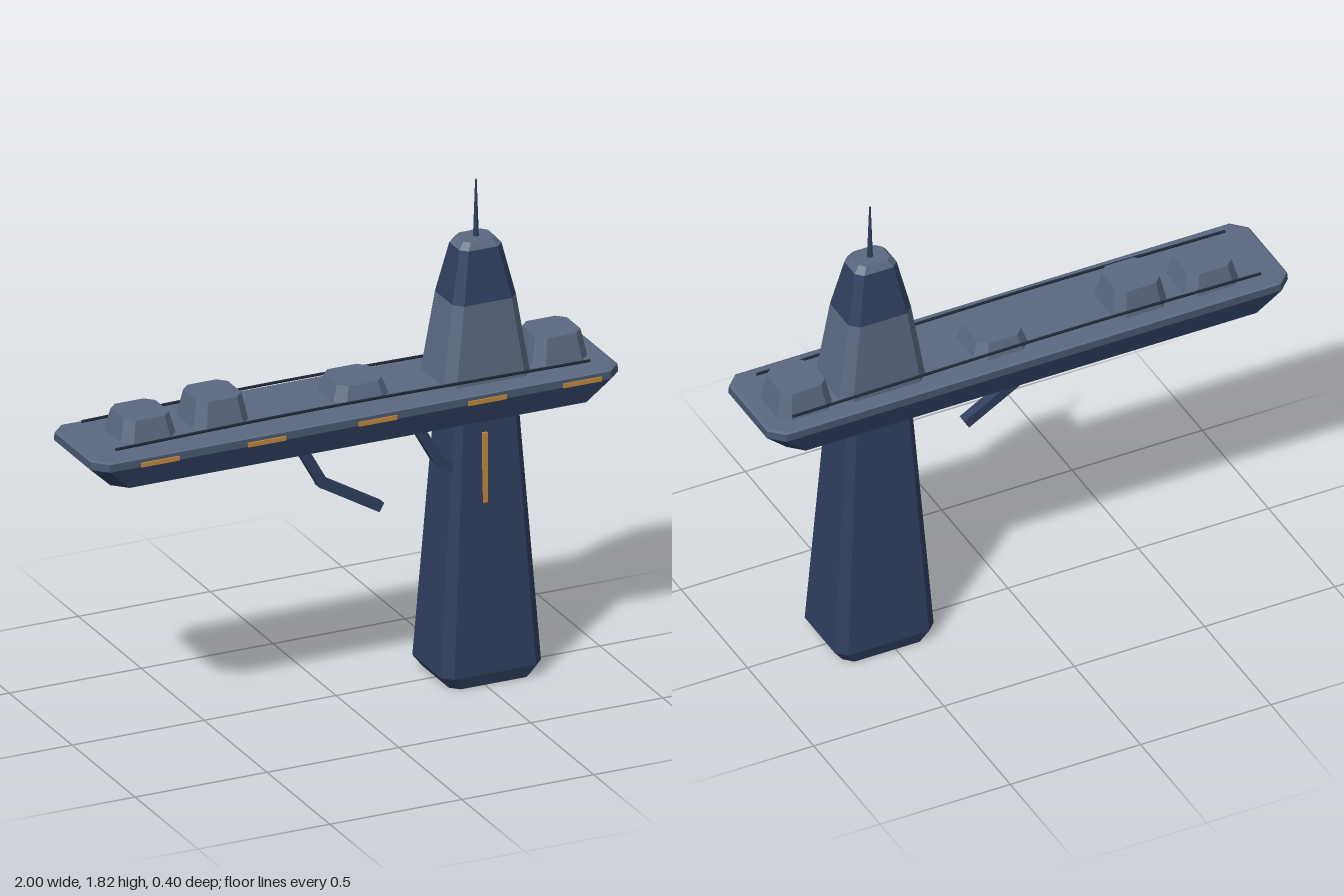
import * as THREE from 'three';

const paint = (name, color) => {
  const m = new THREE.MeshStandardMaterial({ color });
  m.name = name;
  return m;
};

// Flat-faced loft through chamfered rectangles: rings of [y, halfX, halfZ, chamfer], bottom to top
function loft(rings) {
  const loops = rings.map(([y, hx, hz, c]) => [
    [hx, hz - c], [hx - c, hz], [c - hx, hz], [-hx, hz - c],
    [-hx, c - hz], [c - hx, -hz], [hx - c, -hz], [hx, c - hz],
  ].map(([x, z]) => [x, y, z]));
  const pos = [];
  const tri = (...pts) => pts.forEach((p) => pos.push(...p));
  for (let r = 0; r < loops.length - 1; r++) {
    for (let i = 0; i < 8; i++) {
      const j = (i + 1) % 8;
      const a = loops[r][i], b = loops[r][j], c = loops[r + 1][j], d = loops[r + 1][i];
      tri(a, d, c);
      tri(a, c, b);
    }
  }
  const low = loops[0], top = loops[loops.length - 1];
  for (let i = 1; i < 7; i++) {
    tri(low[0], low[i], low[i + 1]);
    tri(top[0], top[i + 1], top[i]);
  }
  const g = new THREE.BufferGeometry();
  g.setAttribute('position', new THREE.Float32BufferAttribute(pos, 3));
  g.computeVertexNormals();
  return g;
}

export function createModel() {
  const model = new THREE.Group();
  model.name = 'towerPlatform';
  const navy = paint('navy', 0x2f3f5d);
  const slate = paint('slate', 0x5a687e);
  const trim = paint('deckTrim', 0x46566d);
  const dark = paint('darkCable', 0x1d2736);
  const amber = paint('amber', 0xc0873a);

  const add = (name, geometry, material, x = 0, y = 0, z = 0, parent = model) => {
    const mesh = new THREE.Mesh(geometry, material);
    mesh.name = name;
    mesh.position.set(x, y, z);
    parent.add(mesh);
    return mesh;
  };

  // Tower: shaft, lighter collar, crown, cap and spire
  const TX = 0.533, TZ = -0.01;
  add('shaft', loft([
    [0, 0.155, 0.135, 0.03], [0.045, 0.19, 0.148, 0.035], [1.03, 0.12, 0.1, 0.024],
  ]), navy, TX, 0, 0);
  add('collar', loft([[1.1, 0.166, 0.125, 0.035], [1.4, 0.12, 0.1, 0.03]]), slate, TX, 0, TZ);
  add('crown', loft([[1.4, 0.12, 0.1, 0.03], [1.585, 0.08, 0.064, 0.024]]), navy, TX, 0, TZ);
  add('cap', loft([[1.585, 0.08, 0.064, 0.024], [1.61, 0.06, 0.049, 0.02]]), slate, TX, 0, TZ);
  add('spire', new THREE.CylinderGeometry(0.003, 0.011, 0.22, 8), navy, 0.535, 1.71, TZ);

  // Deck: sloping hull, rim and top plate
  add('deckHull', loft([[1.0, 0.915, 0.175, 0.05], [1.08, 1, 0.196, 0.05]]), navy);
  add('deckRim', loft([[1.08, 1, 0.196, 0.05], [1.107, 0.998, 0.194, 0.05]]), trim);
  add('deckTop', loft([[1.107, 0.998, 0.194, 0.05], [1.111, 0.99, 0.186, 0.05]]), slate);

  // Rooftop pods: [x, top height]
  for (const [x, top] of [[-0.73, 1.187], [-0.455, 1.207], [0.077, 1.167], [0.83, 1.207]]) {
    add('pod', loft([
      [1.105, 0.106, 0.104, 0.036], [top, 0.085, 0.083, 0.03],
    ]), slate, x, 0, -0.03);
  }

  // Cables running along both sides of the deck
  for (const z of [-0.138, 0.132]) {
    const path = new THREE.CatmullRomCurve3([
      new THREE.Vector3(-0.9, 1.132, z),
      new THREE.Vector3(-0.16, 1.142, z),
      new THREE.Vector3(0.9, 1.132, z),
    ]);
    add('cable', new THREE.TubeGeometry(path, 12, 0.005, 6), dark);
  }

  // Amber lights on the deck edge and the shaft
  for (const x of [-0.76, -0.355, 0.065, 0.48, 0.84]) {
    add('deckLight', new THREE.BoxGeometry(0.145, 0.016, 0.009), amber, x, 1.087, 0.196);
  }
  add('shaftLight', new THREE.BoxGeometry(0.018, 0.26, 0.009), amber, 0.51, 0.8, 0.1145);

  // Bent struts hanging below the deck
  const beam = (parent, x1, y1, x2, y2) => {
    const length = Math.hypot(x2 - x1, y2 - y1);
    const mesh = add('strutBeam', new THREE.BoxGeometry(length, 0.036, 0.036), navy,
      (x1 + x2) / 2, (y1 + y2) / 2, 0, parent);
    mesh.rotation.z = Math.atan2(y2 - y1, x2 - x1);
  };
  for (const x of [-0.09, 0.35]) {
    const strut = new THREE.Group();
    strut.name = 'strut';
    strut.position.set(x, 0.84, 0.07);
    beam(strut, -0.1, 0.18, 0.005, -0.008);
    beam(strut, -0.008, 0.004, 0.222, -0.131);
    model.add(strut);
  }
  return model;
}
